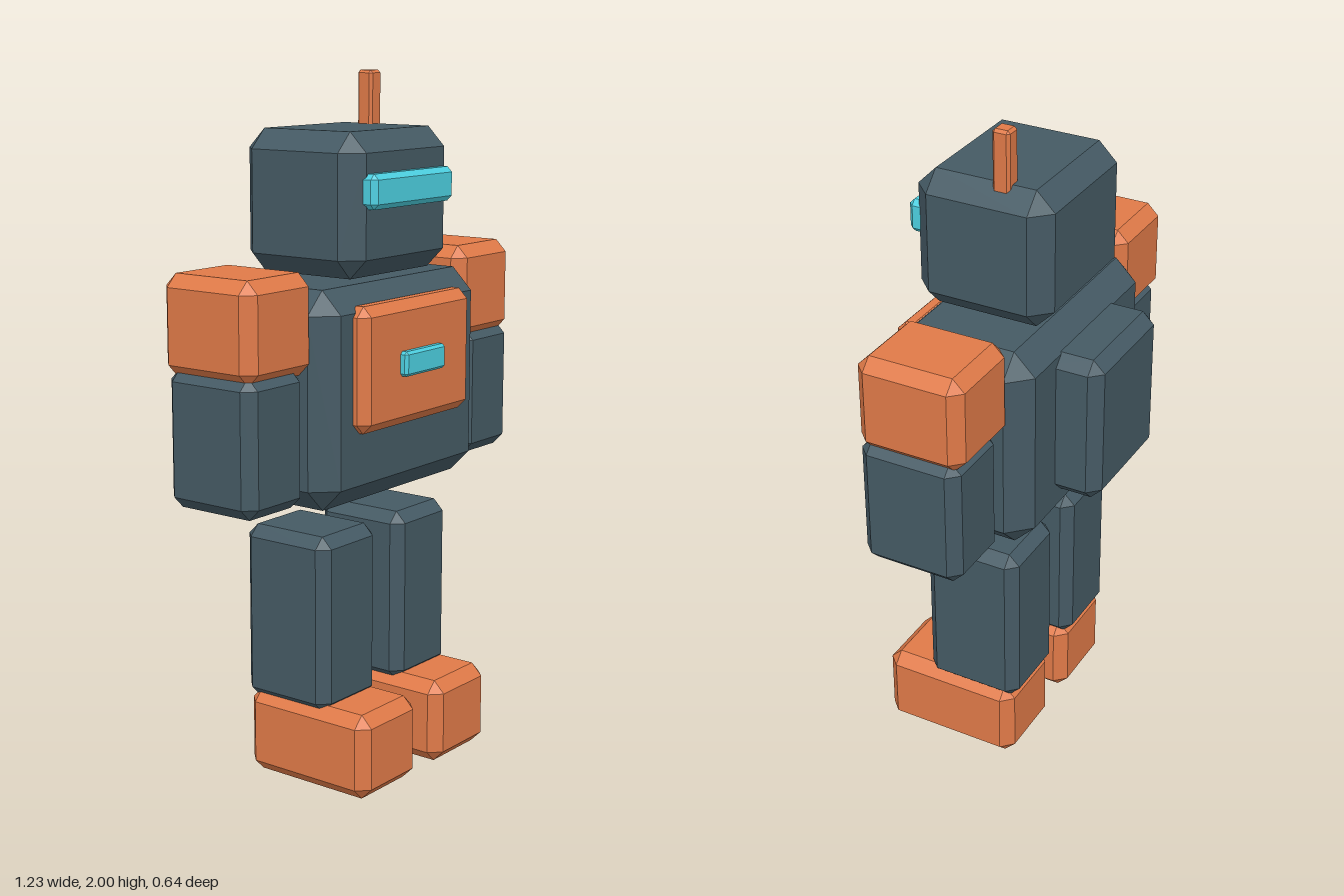
import * as THREE from 'three';
import { ConvexGeometry } from 'three/addons/geometries/ConvexGeometry.js';

function material(name, color) {
  const m = new THREE.MeshStandardMaterial({ color });
  m.name = name;
  return m;
}

// Box with flat chamfers, given its extents on each axis and the chamfer width
function chamferBox([x0, x1], [y0, y1], [z0, z1], c) {
  const h = [(x1 - x0) / 2, (y1 - y0) / 2, (z1 - z0) / 2];
  const points = [];
  for (const sx of [-1, 1]) for (const sy of [-1, 1]) for (const sz of [-1, 1]) {
    for (let axis = 0; axis < 3; axis++) {
      // each corner becomes three points, one on each neighbouring face
      const d = h.map((v, i) => (i === axis ? v : v - c));
      points.push(new THREE.Vector3(sx * d[0], sy * d[1], sz * d[2]));
    }
  }
  return new ConvexGeometry(points).translate((x0 + x1) / 2, (y0 + y1) / 2, (z0 + z1) / 2);
}

export function createModel() {
  const model = new THREE.Group();
  model.name = 'robot';
  const slate = material('slate', 0x455a64);
  const orange = material('orange', 0xe07a48);
  const cyan = material('cyan', 0x4dd0e1);

  function part(name, mat, x, y, z, c) {
    const mesh = new THREE.Mesh(chamferBox(x, y, z, c), mat);
    mesh.name = name;
    model.add(mesh);
  }

  // Head
  part('head', slate, [-0.236, 0.236], [1.45, 1.848], [-0.183, 0.227], 0.055);
  part('visor', cyan, [-0.187, 0.187], [1.642, 1.738], [0.2, 0.261], 0.015);
  part('antenna', orange, [0.148, 0.2], [1.82, 2], [-0.058, -0.006], 0.008);

  // Body
  part('torso', slate, [-0.372, 0.372], [0.826, 1.435], [-0.193, 0.24], 0.064);
  part('chestPlate', orange, [-0.255, 0.255], [1.037, 1.388], [0.2, 0.281], 0.028);
  part('chestLight', cyan, [-0.094, 0.094], [1.18, 1.25], [0.27, 0.303], 0.008);
  part('backpack', slate, [-0.19, 0.19], [0.932, 1.375], [-0.323, -0.12], 0.035);

  // Limbs, mirrored
  for (const [side, s] of [['left', 1], ['right', -1]]) {
    const span = (a, b) => (s > 0 ? [a, b] : [-b, -a]);
    part(side + 'Shoulder', orange, span(0.338, 0.615), [1.21, 1.488], [-0.136, 0.182], 0.035);
    part(side + 'Arm', slate, span(0.378, 0.615), [0.852, 1.235], [-0.122, 0.181], 0.033);
    part(side + 'Leg', slate, span(0.047, 0.301), [0.222, 0.737], [-0.122, 0.176], 0.032);
    part(side + 'Foot', orange, span(0.043, 0.308), [0, 0.248], [-0.108, 0.321], 0.034);
  }
  return model;
}
